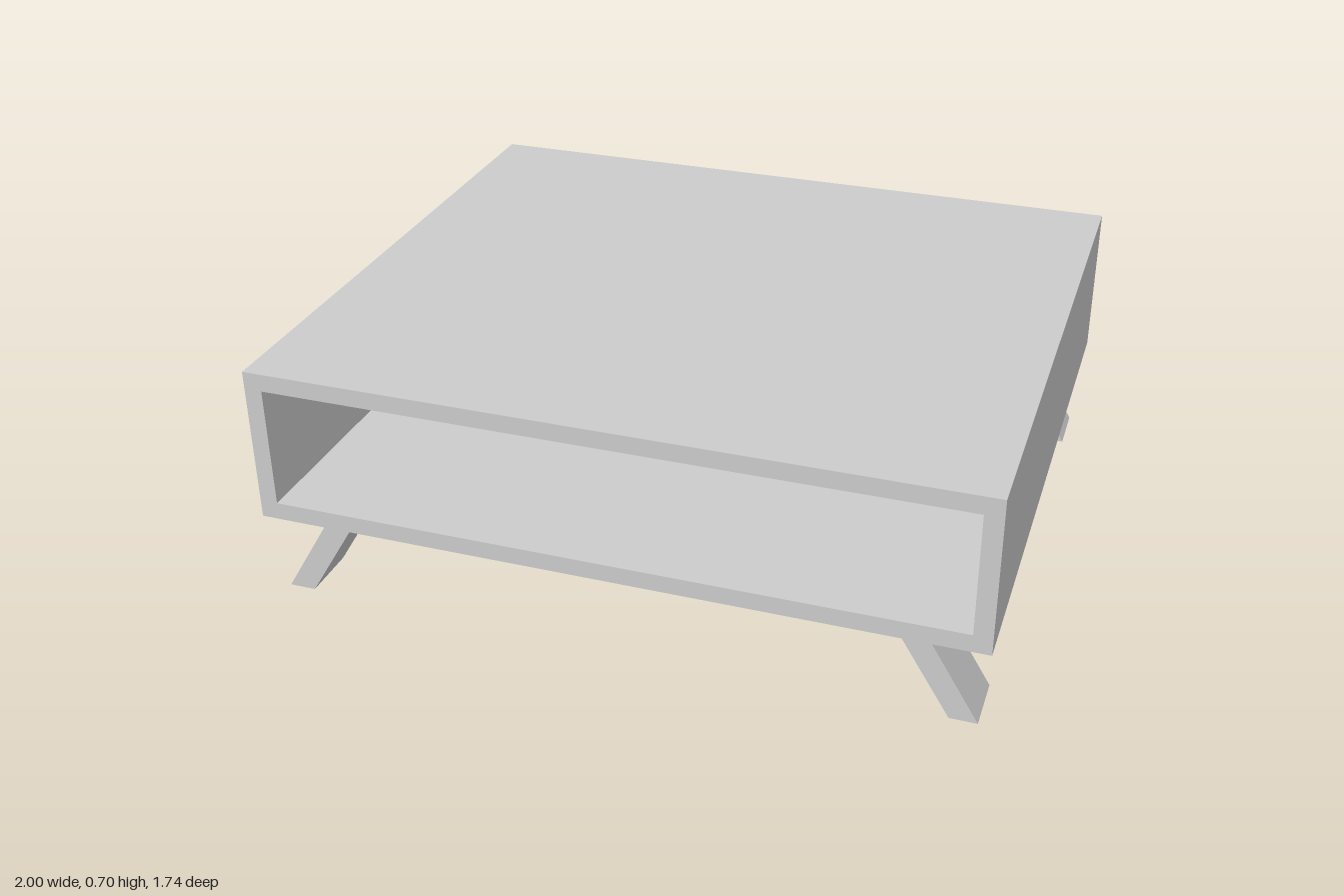
import * as THREE from 'three';

const grey = new THREE.MeshStandardMaterial({ color: 0xcccccc });
grey.name = 'plain grey';

// Extrude an outline along z, centred on the given z
function slab(name, shape, depth, z) {
  const geometry = new THREE.ExtrudeGeometry(shape, { depth, bevelEnabled: false });
  geometry.translate(0, 0, z - depth / 2);
  const mesh = new THREE.Mesh(geometry, grey);
  mesh.name = name;
  return mesh;
}

const outline = (points) => new THREE.Shape(points.map(([x, y]) => new THREE.Vector2(x, y)));

export function createModel() {
  const table = new THREE.Group();
  table.name = 'coffeeTable';

  // Rectangular tube body, open at front and back
  const body = outline([[-1, 0.255], [1, 0.255], [1, 0.7], [-1, 0.7]]);
  body.holes.push(outline([[-0.95, 0.305], [-0.95, 0.65], [0.95, 0.65], [0.95, 0.305]]));
  table.add(slab('body', body, 1.736, 0));

  // Four splayed legs, each a slanted parallelogram
  for (const sx of [1, -1]) {
    const points = [[0.9, 0], [0.975, 0], [0.822, 0.255], [0.745, 0.255]].map(([x, y]) => [sx * x, y]);
    for (const sz of [1, -1]) {
      const name = (sz > 0 ? 'front' : 'back') + (sx > 0 ? 'Left' : 'Right') + 'Leg';
      table.add(slab(name, outline(points), 0.163, sz > 0 ? 0.737 : -0.733));
    }
  }
  return table;
}
